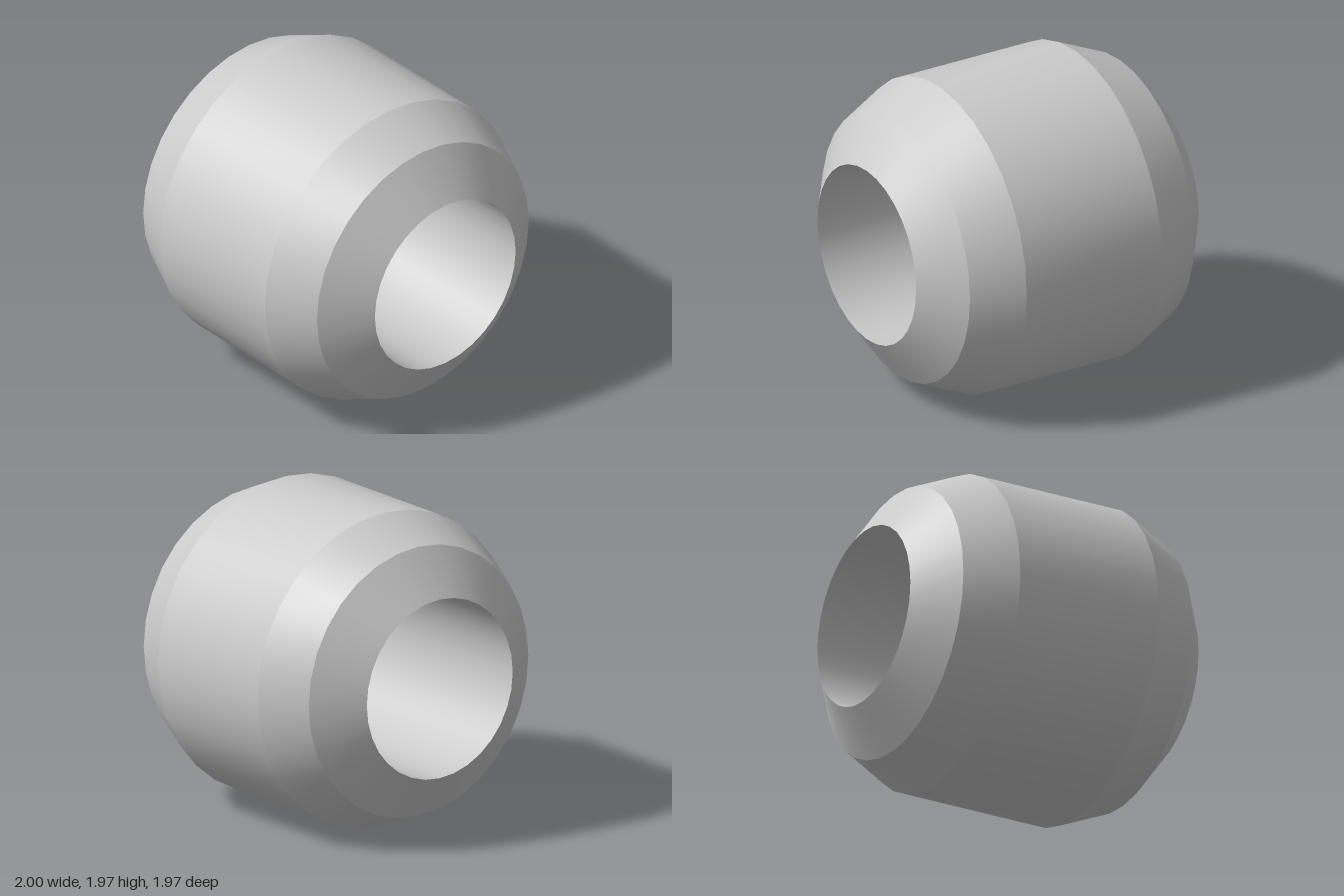
import * as THREE from 'three';
import { toCreasedNormals } from 'three/addons/utils/BufferGeometryUtils.js';

const RADIUS = 0.987;
const HOLE = 0.562;
const SIDES = 32;

export function createModel() {
  const group = new THREE.Group();
  group.name = 'bead';

  // Half outline from the middle to the end face: [radius, distance along axis]
  const half = [[RADIUS, 0.48], [0.846, 0.795], [HOLE, 1]];

  // Outer wall with two bevels per end, closed by the straight bore
  const outer = [
    ...half.slice().reverse().map(([r, a]) => new THREE.Vector2(r, -a)),
    ...half.map(([r, a]) => new THREE.Vector2(r, a)),
  ];
  const profile = [...outer, outer[0].clone()];

  // Smooth around the axis, sharp between the bevels
  const geometry = toCreasedNormals(
    new THREE.LatheGeometry(profile, SIDES),
    THREE.MathUtils.degToRad(18),
  );
  geometry.rotateZ(Math.PI / 2);

  const body = new THREE.Mesh(geometry, new THREE.MeshStandardMaterial({ color: 0xcccccc }));
  body.name = 'beadBody';
  body.position.y = RADIUS;
  group.add(body);
  return group;
}
